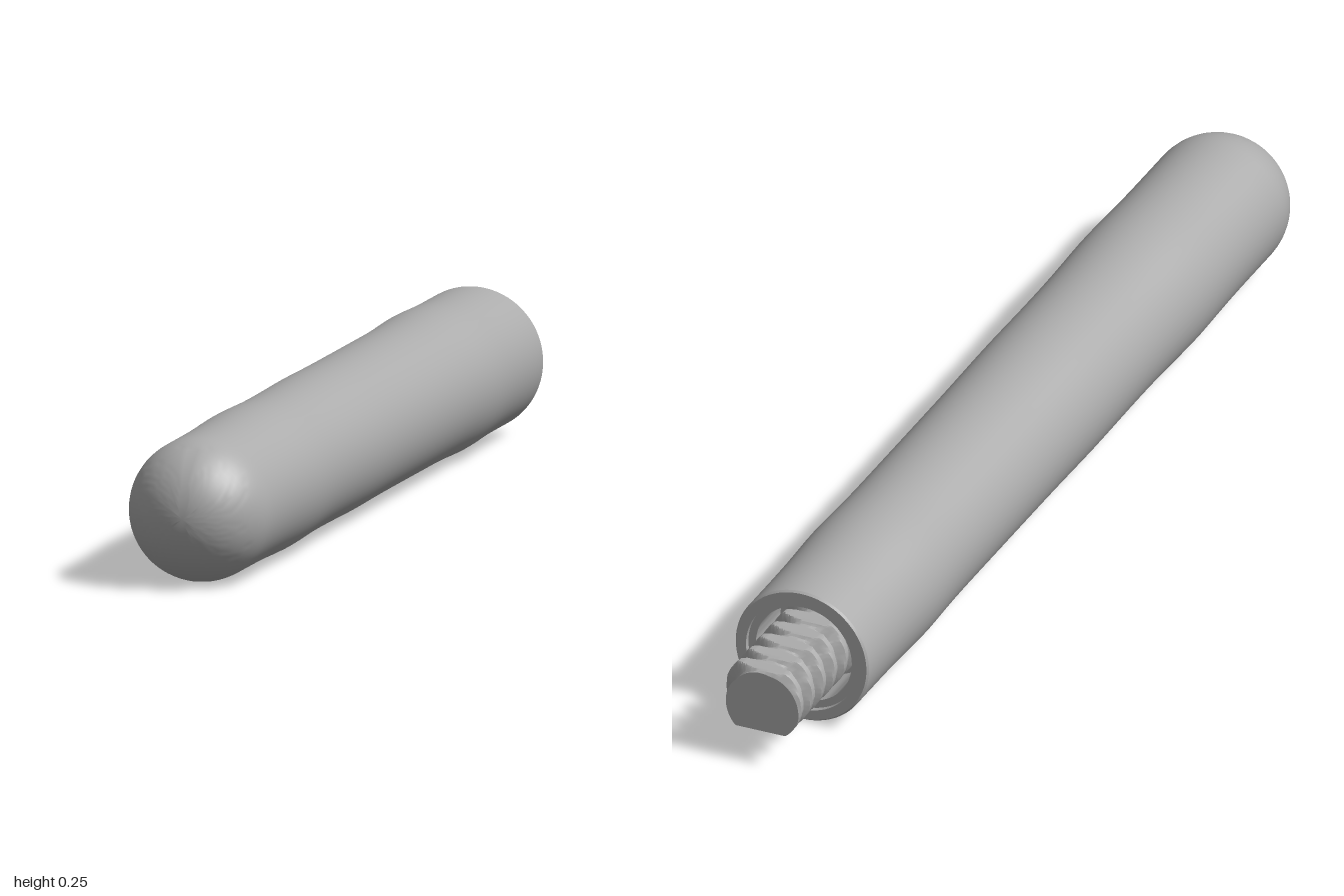
import * as THREE from 'three';
import { toCreasedNormals } from 'three/addons/utils/BufferGeometryUtils.js';

const AXIS_Y = 0.126;

// Handle: rear socket, rim, gently swelling shaft and domed tip, turned about z
function handleGeometry() {
  const pts = [[0, -0.72], [0.09, -0.72], [0.09, -0.82], [0.104, -0.82], [0.104, -0.83], [0.122, -0.83], [0.125, -0.826]]
    .map(([r, z]) => new THREE.Vector2(r, z));
  const swell = (z, c, w) => Math.exp(-(((z - c) / w) ** 2));
  for (let z = -0.78; z < 0.86; z += 0.04) {
    const r = 0.125 + 0.0035 * (swell(z, -0.55, 0.09) + swell(z, 0.56, 0.11)) + 0.0015 * swell(z, 0.15, 0.12);
    pts.push(new THREE.Vector2(r, z));
  }
  for (let i = 0; i <= 16; i++) {
    const a = (i / 16) * Math.PI / 2;
    pts.push(new THREE.Vector2(i === 16 ? 0 : 0.125 * Math.cos(a), 0.875 + 0.125 * Math.sin(a)));
  }
  const geo = new THREE.LatheGeometry(pts, 72);
  geo.rotateX(Math.PI / 2);
  geo.translate(0, AXIS_Y, 0);
  // slight flat where the handle rests
  const p = geo.attributes.position;
  for (let i = 0; i < p.count; i++) p.setY(i, Math.max(0, p.getY(i)));
  return toCreasedNormals(geo, 0.6);
}

// Screw: helical thread with the top and bottom cut flat
function screwGeometry() {
  const pitch = 0.046, root = 0.055, crest = 0.075, flat = 0.058;
  const z0 = -1, z1 = -0.715, rows = 74, seg = 96;
  const pos = [], idx = [];
  for (let j = 0; j <= rows; j++) {
    const z = z0 + (z1 - z0) * j / rows;
    for (let i = 0; i < seg; i++) {
      const a = (i / seg) * Math.PI * 2;
      const turn = (z - z0) / pitch + i / seg + 0.3;
      const wave = Math.abs((turn - Math.floor(turn)) * 2 - 1);
      const r = root + (crest - root) * THREE.MathUtils.clamp((wave - 0.2) / 0.5, 0, 1);
      pos.push(r * Math.cos(a), AXIS_Y + THREE.MathUtils.clamp(r * Math.sin(a), -flat, flat), z);
    }
  }
  for (let j = 0; j < rows; j++) {
    for (let i = 0; i < seg; i++) {
      const a = j * seg + i, b = j * seg + (i + 1) % seg;
      idx.push(a, b, b + seg, a, b + seg, a + seg);
    }
  }
  // end face
  const centre = pos.length / 3;
  pos.push(0, AXIS_Y, z0);
  for (let i = 0; i < seg; i++) idx.push(centre, (i + 1) % seg, i);
  const geo = new THREE.BufferGeometry();
  geo.setAttribute('position', new THREE.Float32BufferAttribute(pos, 3));
  geo.setIndex(idx);
  geo.computeVertexNormals();
  return toCreasedNormals(geo, 0.5);
}

export function createModel() {
  const model = new THREE.Group();
  model.name = 'screwInHandle';
  const grey = new THREE.MeshStandardMaterial({ color: 0xacacac });
  grey.name = 'grey';
  const add = (name, geo) => {
    const mesh = new THREE.Mesh(geo, grey);
    mesh.name = name;
    model.add(mesh);
  };
  add('handle', handleGeometry());
  add('threadedScrew', screwGeometry());
  return model;
}
